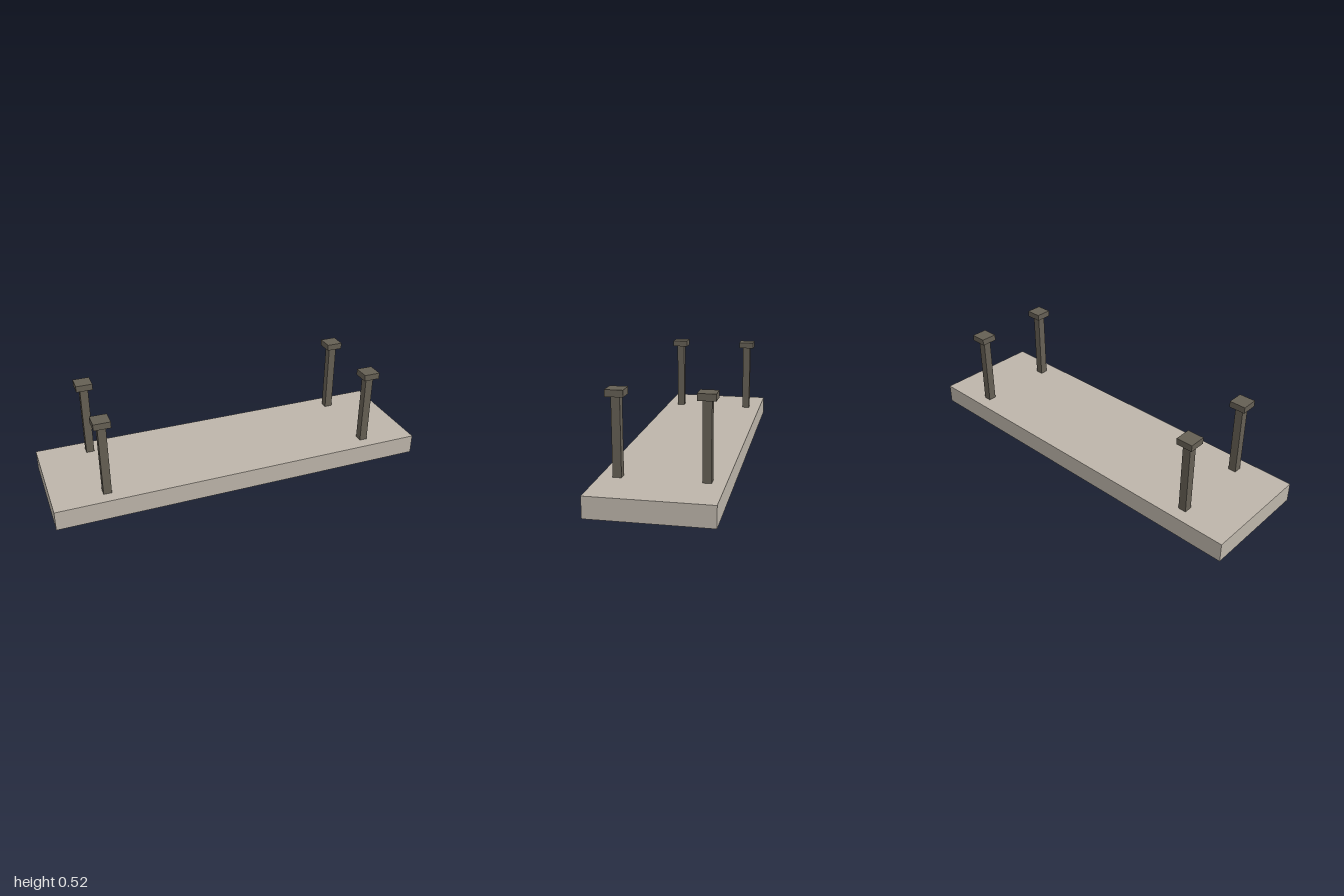
import * as THREE from 'three';

export function createModel() {
  const group = new THREE.Group();
  const stone = new THREE.MeshStandardMaterial({ color: 0xbdb5aa });
  stone.name = 'pale stone';
  const dark = new THREE.MeshStandardMaterial({ color: 0x655f54 });
  dark.name = 'dark taupe';

  // Box standing on height y
  function box(parent, name, material, w, h, d, y) {
    const mesh = new THREE.Mesh(new THREE.BoxGeometry(w, h, d), material);
    mesh.name = name;
    mesh.position.y = y + h / 2;
    parent.add(mesh);
  }

  const slabTop = 0.104, capBottom = 0.485;
  box(group, 'slab', stone, 2, slabTop, 0.588, 0);

  // Four square posts with overhanging caps
  for (const [xName, sx] of [['left', 1], ['right', -1]]) {
    for (const [zName, sz] of [['Front', 1], ['Back', -1]]) {
      const post = new THREE.Group();
      post.name = `${xName}${zName}Post`;
      post.position.set(sx * 0.723, 0, sz * 0.208);
      box(post, 'shaft', dark, 0.042, capBottom - slabTop, 0.042, slabTop);
      box(post, 'cap', dark, 0.086, 0.033, 0.086, capBottom);
      group.add(post);
    }
  }
  return group;
}
